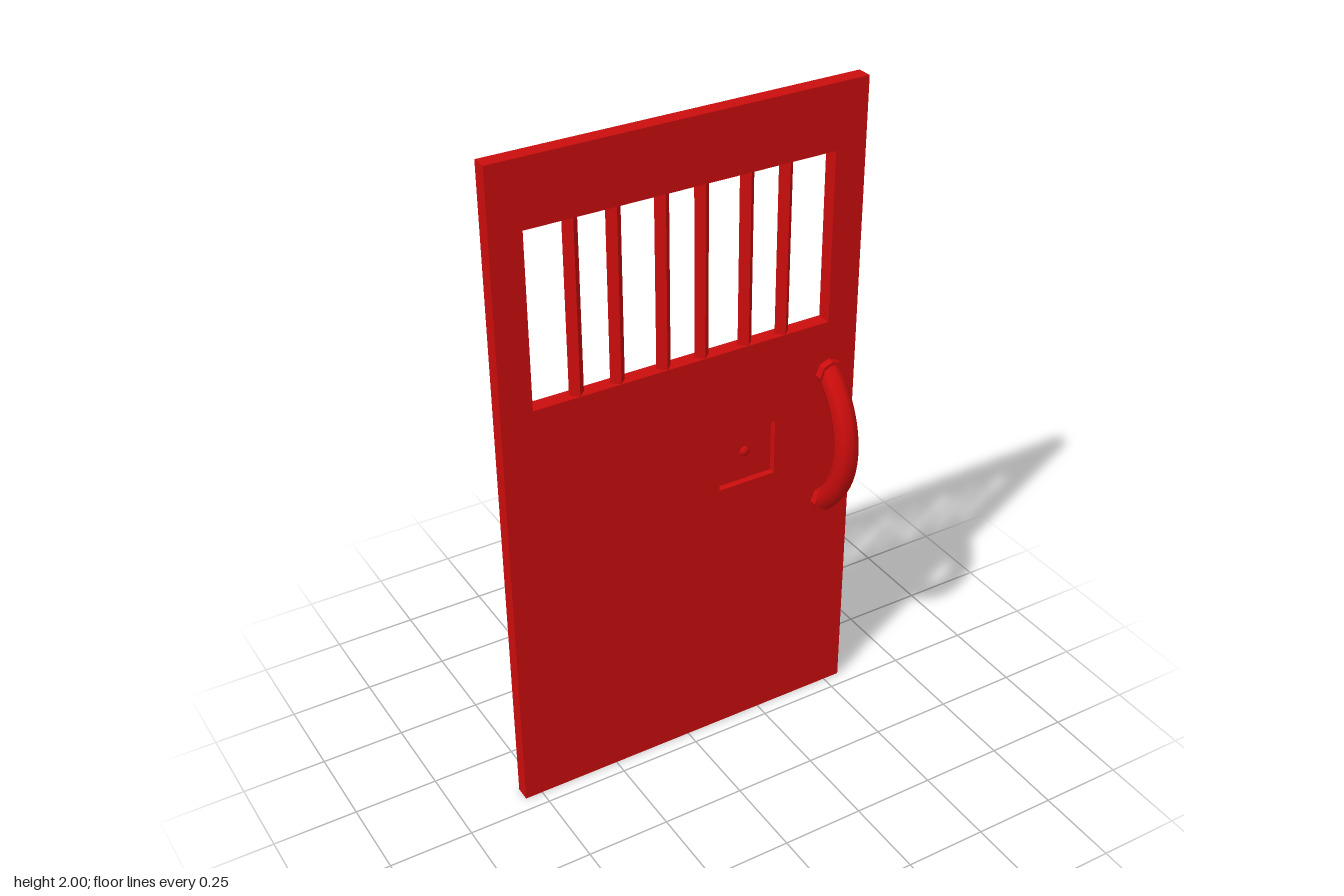
import * as THREE from 'three';

const BACK = -0.09, FRONT = -0.045, THICK = FRONT - BACK;

function rect(Type, x0, x1, y0, y1) {
  const p = new Type();
  p.moveTo(x0, y0);
  p.lineTo(x1, y0);
  p.lineTo(x1, y1);
  p.lineTo(x0, y1);
  p.closePath();
  return p;
}

export function createModel() {
  const door = new THREE.Group();
  door.name = 'cellDoor';
  const flat = new THREE.MeshStandardMaterial({ color: 0xcc0c0c, flatShading: true });
  const smooth = new THREE.MeshStandardMaterial({ color: 0xcc0c0c });

  function add(name, geometry, material, x = 0, y = 0, z = 0) {
    const mesh = new THREE.Mesh(geometry, material);
    mesh.name = name;
    mesh.position.set(x, y, z);
    door.add(mesh);
    return mesh;
  }

  // Slab with the window and the lock recess cut out
  const outline = rect(THREE.Shape, -0.553, 0.553, 0, 2);
  outline.holes.push(rect(THREE.Path, -0.46, 0.457, 1.3, 1.81));
  outline.holes.push(rect(THREE.Path, 0.105, 0.288, 0.857, 1.03));
  add('doorPanel', new THREE.ExtrudeGeometry(outline, { depth: THICK, bevelEnabled: false }), flat, 0, 0, BACK);

  // Recess floor, flush with the back
  add('lockPlate', new THREE.BoxGeometry(0.183, 0.173, 0.025), flat, 0.1965, 0.9435, BACK + 0.0125);

  // Small stud showing on both sides
  add('lockStud', new THREE.SphereGeometry(0.02, 10, 8), smooth, 0.2, 0.948, -0.075);

  // Window bars, four-sided with an edge forward
  for (const x of [-0.322, -0.2, -0.06, 0.058, 0.195, 0.315]) {
    add('windowBar', new THREE.CylinderGeometry(0.022, 0.022, 0.51, 4, 1, true), flat, x, 1.555, (BACK + FRONT) / 2);
  }

  // Bowed handle: a circular arc between the two mounts
  const hx = 0.463, hy = 0.925, radius = 0.281, apex = 0.06;
  const sweep = Math.acos((radius - (apex - FRONT)) / radius);
  const points = [];
  for (let i = 0; i <= 12; i++) {
    const a = sweep * (i / 6 - 1);
    points.push(new THREE.Vector3(0, radius * Math.sin(a), apex - radius + radius * Math.cos(a)));
  }
  const arc = new THREE.CatmullRomCurve3(points);
  add('handle', new THREE.TubeGeometry(arc, 16, 0.036, 8), smooth, hx, hy, 0);

  // Handle mounts
  for (const side of [-1, 1]) {
    const mount = add('handleMount', new THREE.CylinderGeometry(0.042, 0.042, 0.022, 8), flat,
      hx, hy + side * 0.214, FRONT + 0.011);
    mount.rotation.x = Math.PI / 2;
  }

  return door;
}
